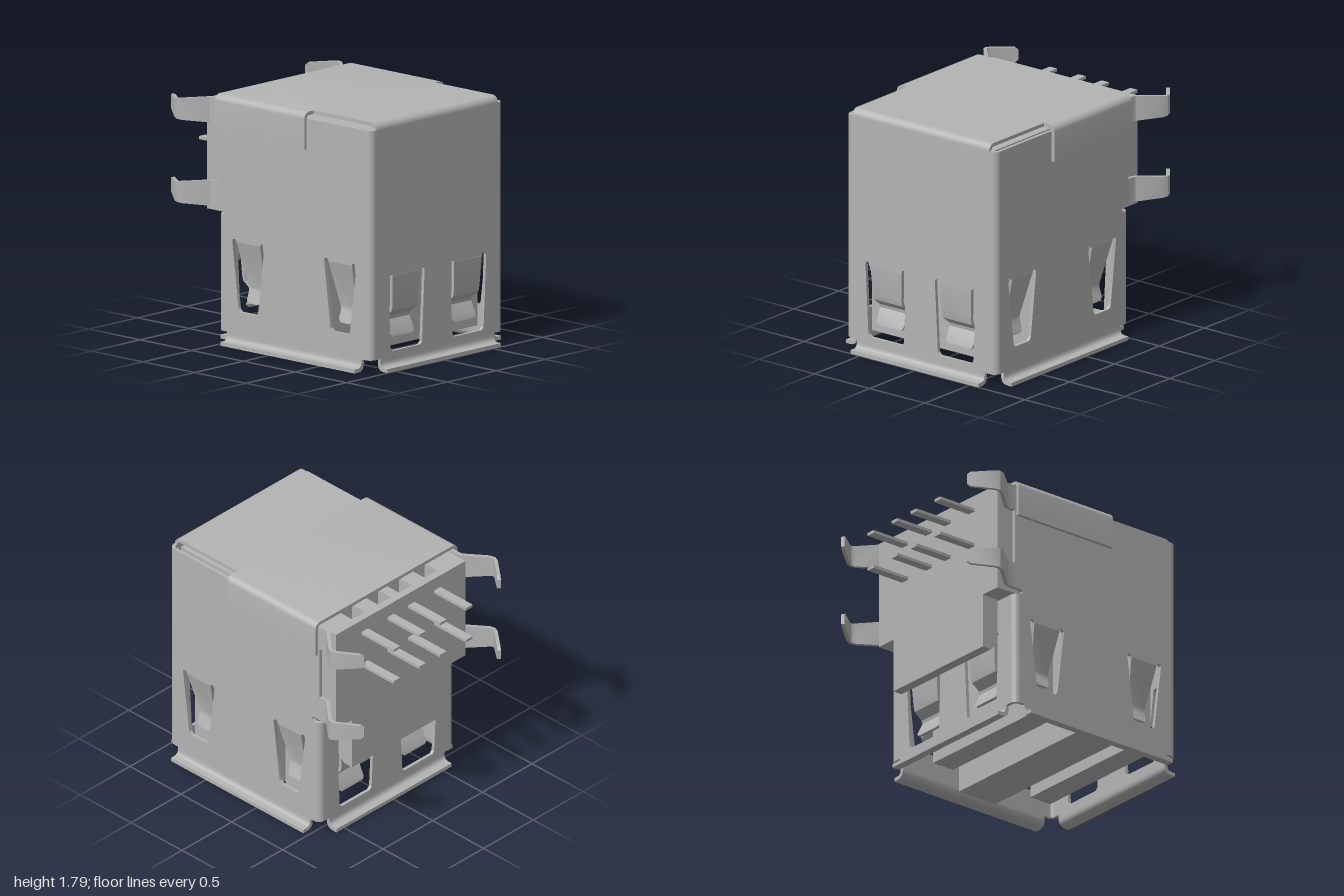
import * as THREE from 'three';
import { toCreasedNormals } from 'three/addons/utils/BufferGeometryUtils.js';

const T = 0.025;               // sheet thickness
const HX = 0.68;               // shell half width
const ZF = 0.93, ZB = -0.55;   // shell front and back
const R = 0.05;                // shell corner radius

export function createModel() {
  const model = new THREE.Group();
  model.name = 'stackedSocket';
  const grey = new THREE.MeshStandardMaterial({ color: 0xb4b4b4, side: THREE.DoubleSide });
  grey.name = 'satin grey';

  function add(parent, name, geo, x = 0, y = 0, z = 0) {
    const m = new THREE.Mesh(geo, grey);
    m.name = name;
    m.position.set(x, y, z);
    parent.add(m);
    return m;
  }
  // Box given by its extents
  function block(name, x0, x1, y0, y1, z0, z1, parent = model) {
    return add(parent, name, new THREE.BoxGeometry(x1 - x0, y1 - y0, z1 - z0),
      (x0 + x1) / 2, (y0 + y1) / 2, (z0 + z1) / 2);
  }
  const poly = pts => new THREE.Shape(pts.map(p => new THREE.Vector2(p[0], p[1])));
  const extrude = (shape, depth) => toCreasedNormals(
    new THREE.ExtrudeGeometry(shape, { depth, bevelEnabled: false, curveSegments: 8 }), 0.6);
  // Profile drawn in (z, y), extruded across x from x0 to x1
  function across(parent, name, shape, x0, x1) {
    const m = add(parent, name, extrude(shape, x1 - x0), x1, 0, 0);
    m.rotation.y = -Math.PI / 2;
    return m;
  }
  // Solid through a row of four-cornered cross-sections
  function loft(sections) {
    const idx = [], n = sections.length;
    for (let i = 0; i < n - 1; i++) for (let k = 0; k < 4; k++) {
      const a = i * 4 + k, b = i * 4 + (k + 1) % 4;
      idx.push(a, b, b + 4, a, b + 4, a + 4);
    }
    const e = (n - 1) * 4;
    idx.push(0, 2, 1, 0, 3, 2, e, e + 1, e + 2, e, e + 2, e + 3);
    const g = new THREE.BufferGeometry();
    g.setAttribute('position', new THREE.Float32BufferAttribute(sections.flat(2), 3));
    g.setIndex(idx);
    return toCreasedNormals(g, 0.5);
  }

  // Tapered window with two round-topped slots beside the spring
  function springHole(cx, yb, yt, hb, ht, r) {
    const p = new THREE.Path(), y = yt - r;
    p.moveTo(cx - hb + 0.02, yb);
    p.lineTo(cx + hb - 0.02, yb);
    p.lineTo(cx + hb, yb + 0.02);
    p.lineTo(cx + ht, y);
    p.absarc(cx + ht - r, y, r, 0, Math.PI, false);
    p.lineTo(cx - ht + 2 * r, y);
    p.absarc(cx - ht + r, y, r, 0, Math.PI, false);
    p.lineTo(cx - hb, yb + 0.02);
    p.closePath();
    return p;
  }
  // Bent spring tongue; rows are [y, inward depth, half width]
  function spring(parent, cx, rows) {
    add(parent, 'contactSpring', loft(rows.map(([y, d, w]) => [
      [cx - w, y, -d], [cx + w, y, -d], [cx + w, y, -d - T], [cx - w, y, -d - T]])));
  }
  // Outward-curled lip along the foot of a wall
  function lip(parent, x0, x1) {
    const s = new THREE.Shape();
    s.moveTo(-T, 0.09);
    s.lineTo(0, 0.09);
    s.lineTo(0, 0.07);
    s.quadraticCurveTo(0, 0.028, 0.04, 0.028);
    s.lineTo(0.07, 0.028);
    s.lineTo(0.07, 0);
    s.lineTo(0.035, 0);
    s.quadraticCurveTo(-T, 0, -T, 0.06);
    s.closePath();
    across(parent, 'footLip', s, x0, x1);
  }
  function wallGroup(name, x, z, ry) {
    const g = new THREE.Group();
    g.name = name;
    g.position.set(x, 0, z);
    g.rotation.y = ry;
    model.add(g);
    return g;
  }

  // Front and back walls, each with two springs
  const endRows = [[0.667, 0, 0.142], [0.45, 0.012, 0.13], [0.41, 0.022, 0.13], [0.36, 0.085, 0.128],
    [0.335, 0.09, 0.127], [0.24, 0.04, 0.122], [0.22, 0.036, 0.105]];
  for (const [name, z, ry, top] of [['frontWall', ZF, 0, 1.745], ['backWall', ZB, Math.PI, 0.93]]) {
    const g = wallGroup(name, 0, z, ry), w = HX - R;
    const s = poly([[-w, 0.09], [w, 0.09], [w, top], [-w, top]]);
    for (const cx of [-0.315, 0.315]) {
      s.holes.push(springHole(cx, 0.13, 0.69, 0.16, 0.187, 0.022));
      spring(g, cx, endRows);
    }
    add(g, name + 'Sheet', extrude(s, T), 0, 0, -T);
    lip(g, -0.58, 0.58);
  }

  // Side walls, each with two springs
  const sideRows = [[0.75, 0, 0.115], [0.43, 0.085, 0.077], [0.4, 0.085, 0.073],
    [0.335, 0.055, 0.064], [0.31, 0.05, 0.045]];
  for (const side of [1, -1]) {
    const g = wallGroup(side > 0 ? 'leftWall' : 'rightWall', side * HX, 0, side * Math.PI / 2);
    const X = z => -side * z;
    const s = poly([[0.88, 0.09], [-0.5, 0.09], [-0.5, 0.93], [-0.48, 0.94], [-0.48, 0.96], [-0.5, 0.97],
      [ZB, 0.97], [ZB, 1.745], [0.88, 1.745]].map(([z, y]) => [X(z), y]));
    for (const z of [0.635, -0.255]) {
      s.holes.push(springHole(X(z), 0.25, 0.77, 0.095, 0.155, 0.02));
      spring(g, X(z), sideRows);
    }
    add(g, 'sideSheet', extrude(s, T), 0, 0, -T);
    lip(g, Math.min(X(0.84), X(-0.46)), Math.max(X(0.84), X(-0.46)));
  }

  // Rounded upright corners
  for (const sx of [1, -1]) for (const sz of [1, -1]) {
    const a = sz < 0 ? (sx > 0 ? 0 : Math.PI / 2) : (sx > 0 ? 1.5 * Math.PI : Math.PI);
    const s = new THREE.Shape();
    s.absarc(0, 0, R, a, a + Math.PI / 2, false);
    s.absarc(0, 0, R - T, a + Math.PI / 2, a, true);
    s.closePath();
    const h = (sz > 0 ? 1.745 : 0.93) - 0.09;
    const m = add(model, 'shellCorner', extrude(s, h), sx * (HX - R), 0.09, sz > 0 ? ZF - R : ZB + R);
    m.rotation.x = -Math.PI / 2;
  }

  // Lid: narrow front tab, bend into the front wall, wide rear with flaps
  block('lidFront', -0.62, 0.62, 1.77, 1.795, 0.32, ZF - R);
  const bend = new THREE.Shape();
  bend.absarc(ZF - R, 1.745, R, 0, Math.PI / 2, false);
  bend.absarc(ZF - R, 1.745, R - T, Math.PI / 2, 0, true);
  bend.closePath();
  across(model, 'lidBend', bend, -0.62, 0.62);
  const lid = new THREE.Shape();
  lid.moveTo(0.715, 1.525);
  lid.lineTo(0.715, 1.745);
  lid.absarc(0.665, 1.745, 0.05, 0, Math.PI / 2, false);
  lid.lineTo(-0.665, 1.795);
  lid.absarc(-0.665, 1.745, 0.05, Math.PI / 2, Math.PI, false);
  lid.lineTo(-0.715, 1.525);
  lid.lineTo(-0.69, 1.525);
  lid.lineTo(-0.69, 1.745);
  lid.absarc(-0.665, 1.745, 0.025, Math.PI, Math.PI / 2, true);
  lid.lineTo(0.665, 1.77);
  lid.absarc(0.665, 1.745, 0.025, Math.PI / 2, 0, true);
  lid.lineTo(0.69, 1.525);
  lid.closePath();
  add(model, 'lidRear', extrude(lid, 0.865), 0, 0, -0.545);

  // Inner housing: core, divider between the ports, contact tongues
  block('housingCore', -0.61, 0.61, 0.95, 1.73, -0.5, 0.88);
  block('portDivider', -0.65, 0.65, 0.04, 0.95, 0.05, 0.38);
  for (const z of [0.62, -0.27]) block('contactTongue', -0.55, 0.55, 0.13, 0.95, z, z + 0.18);

  // Rear housing with notched top and chamfered lower skirt
  block('rearHousing', -0.65, 0.65, 0.94, 1.6, -0.685, -0.5);
  block('rearRim', -0.65, 0.65, 1.6, 1.74, -0.685, -0.63);
  for (const [a, b] of [[-0.65, -0.43], [-0.3, -0.17], [-0.04, 0.04], [0.17, 0.3], [0.43, 0.65]])
    block('rearTooth', a, b, 1.6, 1.74, -0.63, -0.5);
  across(model, 'rearSkirt', poly([[ZB, 0.94], [ZB, 0.6], [-0.61, 0.54], [-0.685, 0.54], [-0.685, 0.94]]), -0.49, 0.49);

  // Two rows of four solder pins
  for (const x of [-0.367, -0.107, 0.102, 0.362]) {
    for (const y of [1.36, 1.63]) block('solderPin', x - 0.033, x + 0.033, y - 0.011, y + 0.011, -1, -0.6);
    block('pinRoot', x - 0.033, x + 0.033, 1.6, 1.67, -0.63, -0.58);
  }

  // Four kinked mounting legs; rows are [x, z, lower trim, upper trim]
  const path = [[0.667, -0.5, 0, 0], [0.667, -0.6, 0, 0], [0.675, -0.63, 0.003, 0.002], [0.805, -0.775, 0.02, 0.013],
    [0.816, -0.805, 0.025, 0.016], [0.805, -0.835, 0.03, 0.018], [0.695, -0.97, 0.05, 0.03], [0.679, -0.99, 0.07, 0.05]];
  for (const side of [1, -1]) for (const y of [0.97, 1.57]) {
    const rows = path.map(([x, z, lo, hi], i) => {
      const p = path[Math.max(i - 1, 0)], q = path[Math.min(i + 1, path.length - 1)];
      const dx = q[0] - p[0], dz = q[1] - p[1], l = Math.hypot(dx, dz);
      const nx = -dz / l * T / 2, nz = dx / l * T / 2;
      const y0 = y + lo, y1 = y + 0.19 - hi;
      return [[side * (x + nx), y0, z + nz], [side * (x + nx), y1, z + nz],
        [side * (x - nx), y1, z - nz], [side * (x - nx), y0, z - nz]];
    });
    add(model, 'mountingLeg', loft(rows));
  }
  return model;
}
